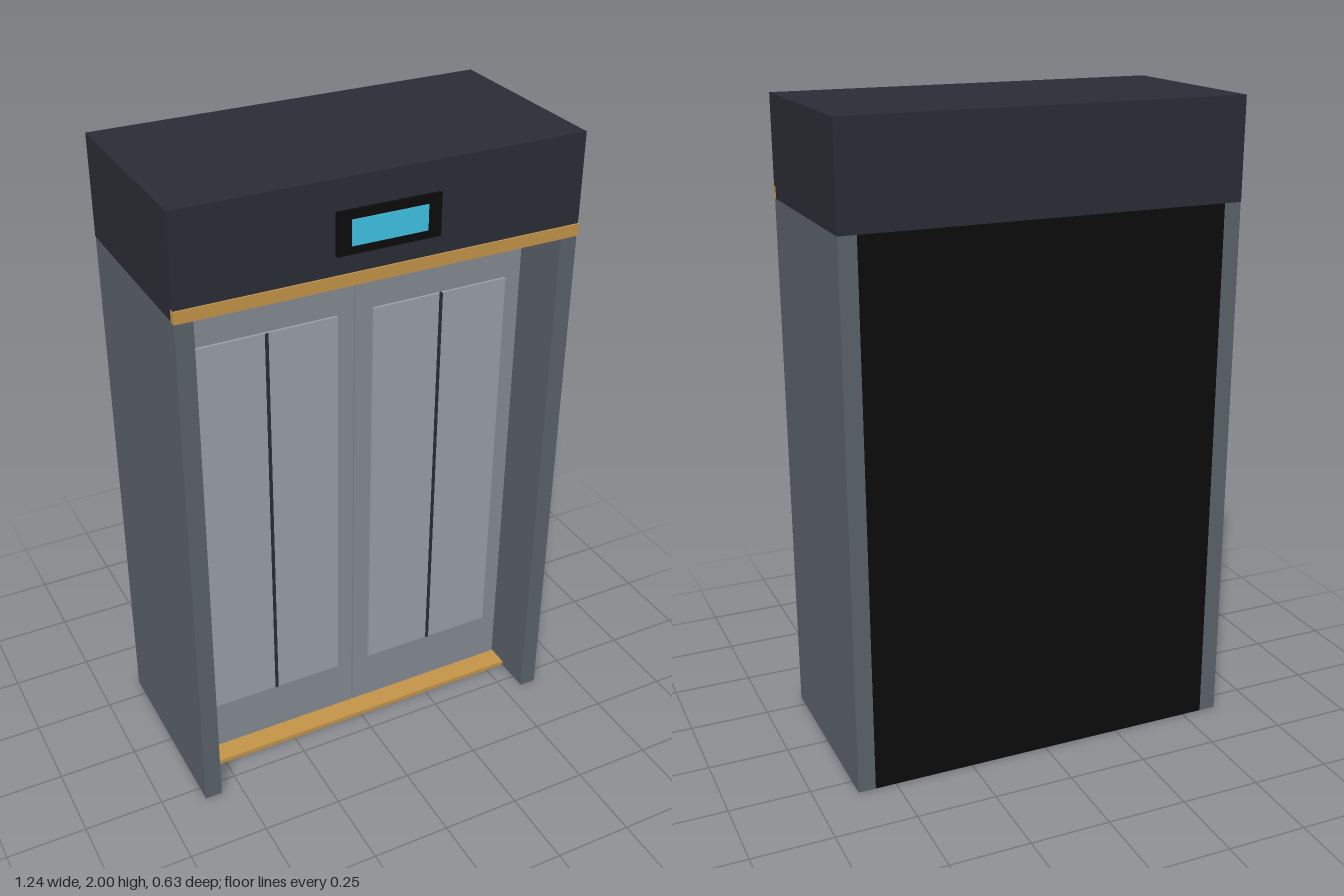
import * as THREE from 'three';

const material = (color) => new THREE.MeshStandardMaterial({ color });
const steel = material(0x5a626a);
const dark = material(0x2a2d35);
const black = material(0x0b0b0b);
const doorGrey = material(0x858a92);
const panelGrey = material(0x9aa0a8);
const brass = material(0xc49548);
const glow = material(0x40c4e6);

// Box given by its limits on each axis
function box(parent, name, mat, [x0, x1], [y0, y1], [z0, z1]) {
  const mesh = new THREE.Mesh(new THREE.BoxGeometry(x1 - x0, y1 - y0, z1 - z0), mat);
  mesh.position.set((x0 + x1) / 2, (y0 + y1) / 2, (z0 + z1) / 2);
  mesh.name = name;
  parent.add(mesh);
  return mesh;
}

export function createModel() {
  const model = new THREE.Group();
  model.name = 'elevator';
  const back = -0.315, front = 0.3;

  // Shell: header on top, back wall, threshold between the side walls
  box(model, 'header', dark, [-0.62, 0.62], [1.69, 2], [back, front]);
  box(model, 'headerTrim', brass, [-0.621, 0.621], [1.69, 1.727], [0.285, 0.305]);
  box(model, 'backWall', black, [-0.565, 0.565], [0, 1.69], [back, -0.2]);
  box(model, 'sill', brass, [-0.565, 0.565], [0, 0.015], [0.01, 0.18]);

  // Floor indicator
  const indicator = new THREE.Group();
  indicator.name = 'floorIndicator';
  box(indicator, 'bezel', black, [-0.157, 0.157], [1.785, 1.91], [0.29, 0.312]);
  box(indicator, 'screen', glow, [-0.115, 0.115], [1.81, 1.885], [0.3, 0.315]);
  model.add(indicator);

  // Mirrored side walls and sliding doors
  for (const [side, s] of [['left', 1], ['right', -1]]) {
    const span = (a, b) => (s > 0 ? [a, b] : [-b, -a]);
    box(model, side + 'SideWall', steel, span(0.565, 0.619), [0, 1.69], [back, front]);

    const door = new THREE.Group();
    door.name = side + 'Door';
    box(door, 'doorLeaf', doorGrey, span(0.002, 0.563), [0.015, 1.69], [0.07, 0.11]);
    box(door, 'doorPanel', panelGrey, span(0.058, 0.508), [0.19, 1.5], [0.1, 0.118]);
    box(door, 'panelDivider', dark, span(0.278, 0.288), [0.19, 1.5], [0.1, 0.121]);
    model.add(door);
  }
  return model;
}
